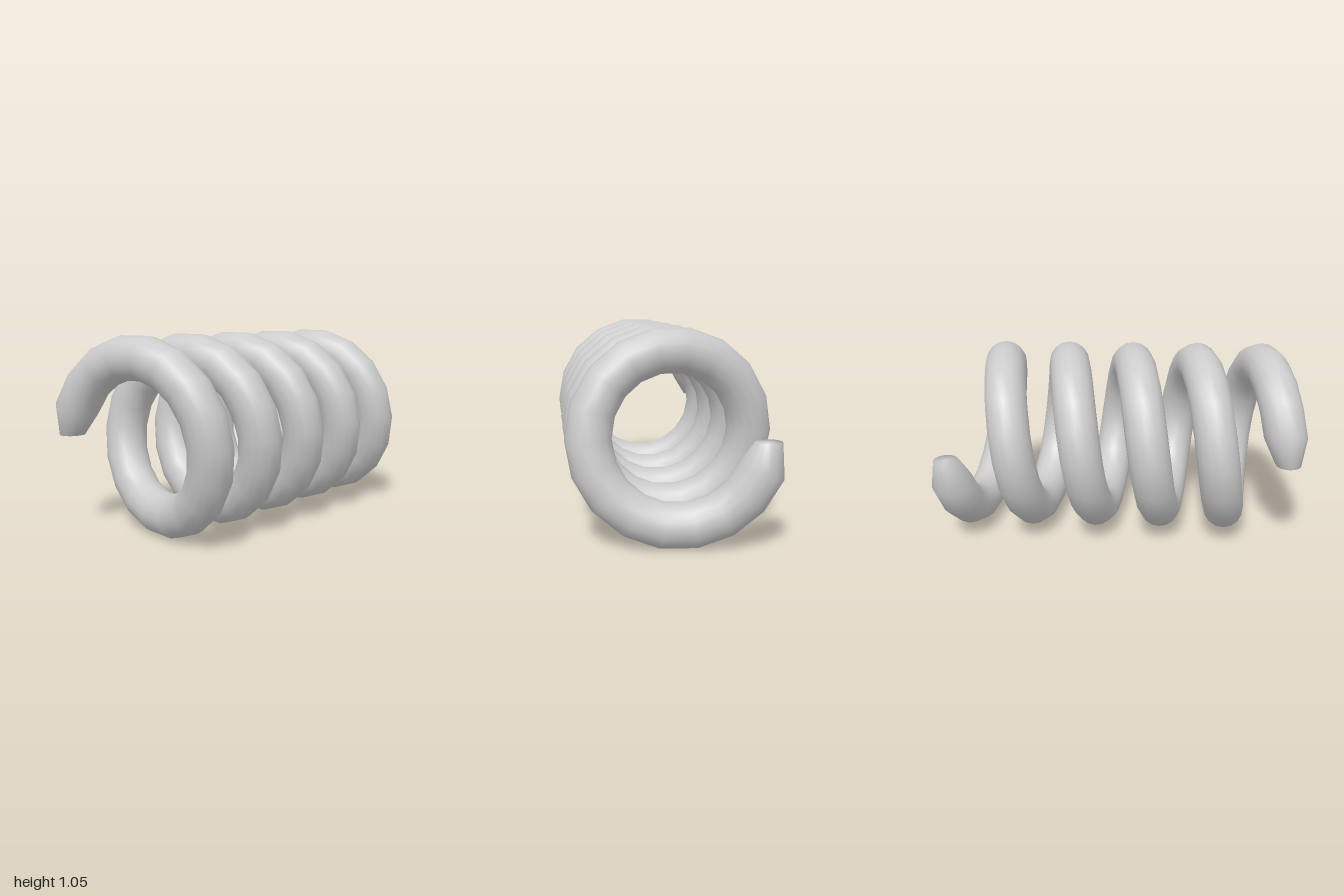
import * as THREE from 'three';

const TURNS = 5, STEPS = 18, SIDES = 16;
const COIL_R = 0.4175, WIRE_R = 0.1135, END_R = 0.066;
const HALF_LENGTH = 0.9067, CENTRE_Y = 0.523;

// Helical wire along z: rings in radial planes, narrowed at both ends and capped
function coilGeometry() {
  const positions = [], indices = [];
  const rings = TURNS * STEPS;
  const centre = (i) => {
    const a = Math.PI - (i / STEPS) * Math.PI * 2;
    return { a, z: HALF_LENGTH * (1 - (2 * i) / rings) };
  };

  for (let i = 0; i <= rings; i++) {
    const { a, z } = centre(i);
    const r = i === 0 || i === rings ? END_R : WIRE_R;
    for (let j = 0; j < SIDES; j++) {
      const phi = (j / SIDES) * Math.PI * 2;
      const d = COIL_R + r * Math.cos(phi);
      positions.push(d * Math.cos(a), CENTRE_Y + d * Math.sin(a), z + r * Math.sin(phi));
    }
  }
  for (let i = 0; i < rings; i++) {
    for (let j = 0; j < SIDES; j++) {
      const k = (j + 1) % SIDES;
      const a = i * SIDES + j, b = i * SIDES + k;
      indices.push(a, b, a + SIDES, b, b + SIDES, a + SIDES);
    }
  }

  // End caps share their rim so the shading rolls over the tips
  for (const i of [0, rings]) {
    const { a, z } = centre(i);
    const mid = positions.length / 3;
    positions.push(COIL_R * Math.cos(a), CENTRE_Y + COIL_R * Math.sin(a), z);
    for (let j = 0; j < SIDES; j++) {
      const p = i * SIDES + j, q = i * SIDES + ((j + 1) % SIDES);
      if (i === 0) indices.push(mid, q, p);
      else indices.push(mid, p, q);
    }
  }

  const geometry = new THREE.BufferGeometry();
  geometry.setAttribute('position', new THREE.Float32BufferAttribute(positions, 3));
  geometry.setIndex(indices);
  geometry.computeVertexNormals();
  return geometry;
}

export function createModel() {
  const group = new THREE.Group();
  group.name = 'coilSpring';
  const coil = new THREE.Mesh(coilGeometry(), new THREE.MeshStandardMaterial({ color: 0xcccccc }));
  coil.name = 'coil';
  group.add(coil);
  return group;
}
